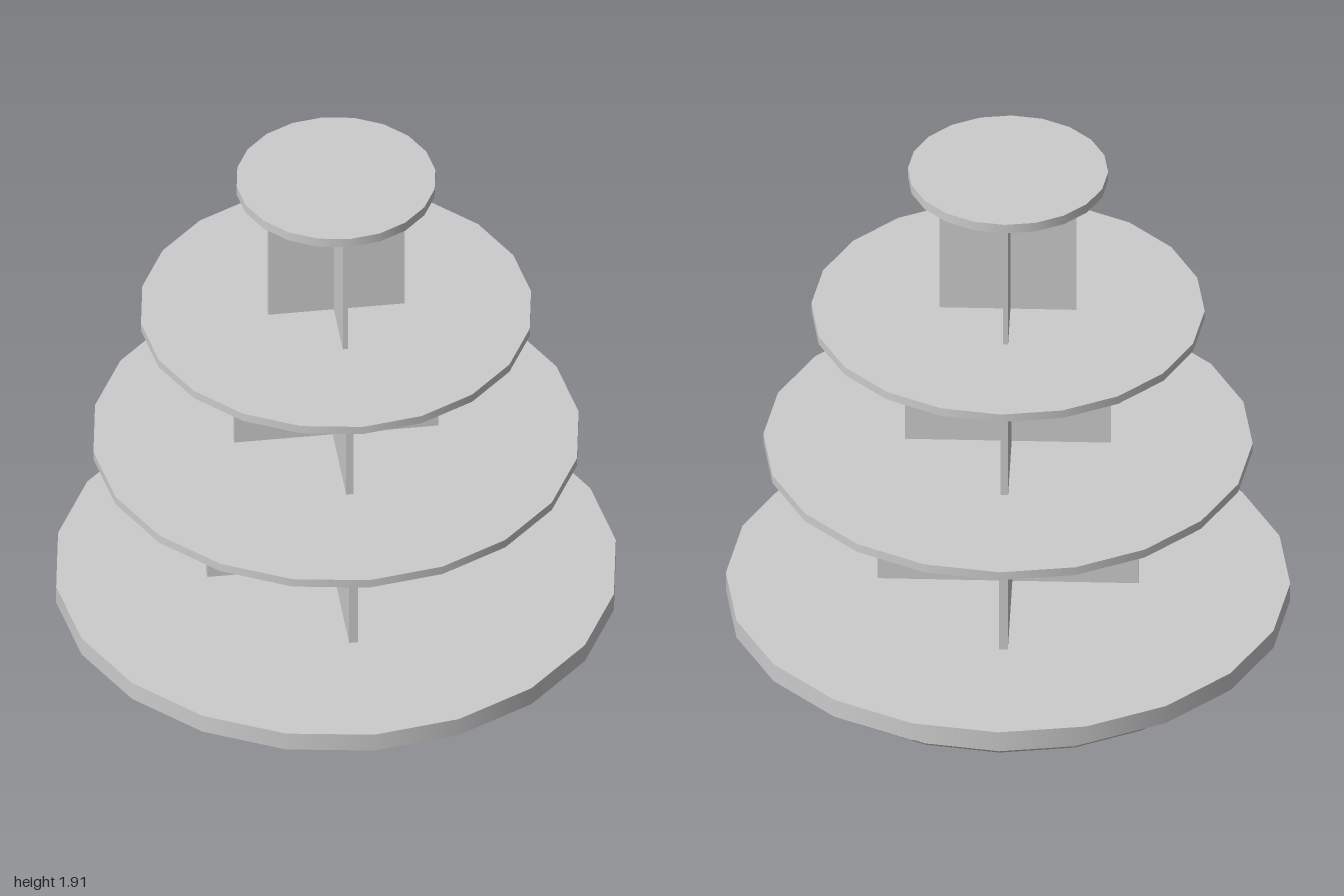
import * as THREE from 'three';

const SIDES = 20;

export function createModel() {
  const model = new THREE.Group();
  model.name = 'tieredStand';
  const material = new THREE.MeshStandardMaterial({ color: 0xcccccc });

  const add = (parent, name, geometry, y) => {
    const mesh = new THREE.Mesh(geometry, material);
    mesh.name = name;
    mesh.position.y = y;
    parent.add(mesh);
  };

  // Round slab between two heights, optionally tapered
  const disc = (parent, name, y0, y1, bottomRadius, topRadius = bottomRadius) =>
    add(parent, name, new THREE.CylinderGeometry(topRadius, bottomRadius, y1 - y0, SIDES), (y0 + y1) / 2);

  // Drum foot with softened rims
  const foot = new THREE.Group();
  foot.name = 'foot';
  disc(foot, 'footLowerRim', 0, 0.01, 0.85, 0.857);
  disc(foot, 'footDrum', 0.01, 0.102, 0.857);
  disc(foot, 'footUpperRim', 0.102, 0.112, 0.857, 0.85);
  model.add(foot);

  // Plates from bottom to top; each carries a cross support up to the next
  const tiers = [
    { y0: 0.112, y1: 0.183, radius: 1.0, support: 0.462, thickness: 0.032 },
    { y0: 0.74, y1: 0.773, radius: 0.867, support: 0.365, thickness: 0.027 },
    { y0: 1.297, y1: 1.329, radius: 0.697, support: 0.243, thickness: 0.018 },
    { y0: 1.872, y1: 1.908, radius: 0.355 },
  ];

  tiers.forEach((tier, i) => {
    const group = new THREE.Group();
    group.name = `tier${i + 1}`;
    disc(group, 'plate', tier.y0, tier.y1, tier.radius);

    // Two interlocking upright panels
    if (tier.support) {
      const height = tiers[i + 1].y0 - tier.y1;
      const y = tier.y1 + height / 2;
      const width = tier.support * 2;
      add(group, 'crossPanelWide', new THREE.BoxGeometry(width, height, tier.thickness), y);
      add(group, 'crossPanelDeep', new THREE.BoxGeometry(tier.thickness, height, width), y);
    }
    model.add(group);
  });

  return model;
}
